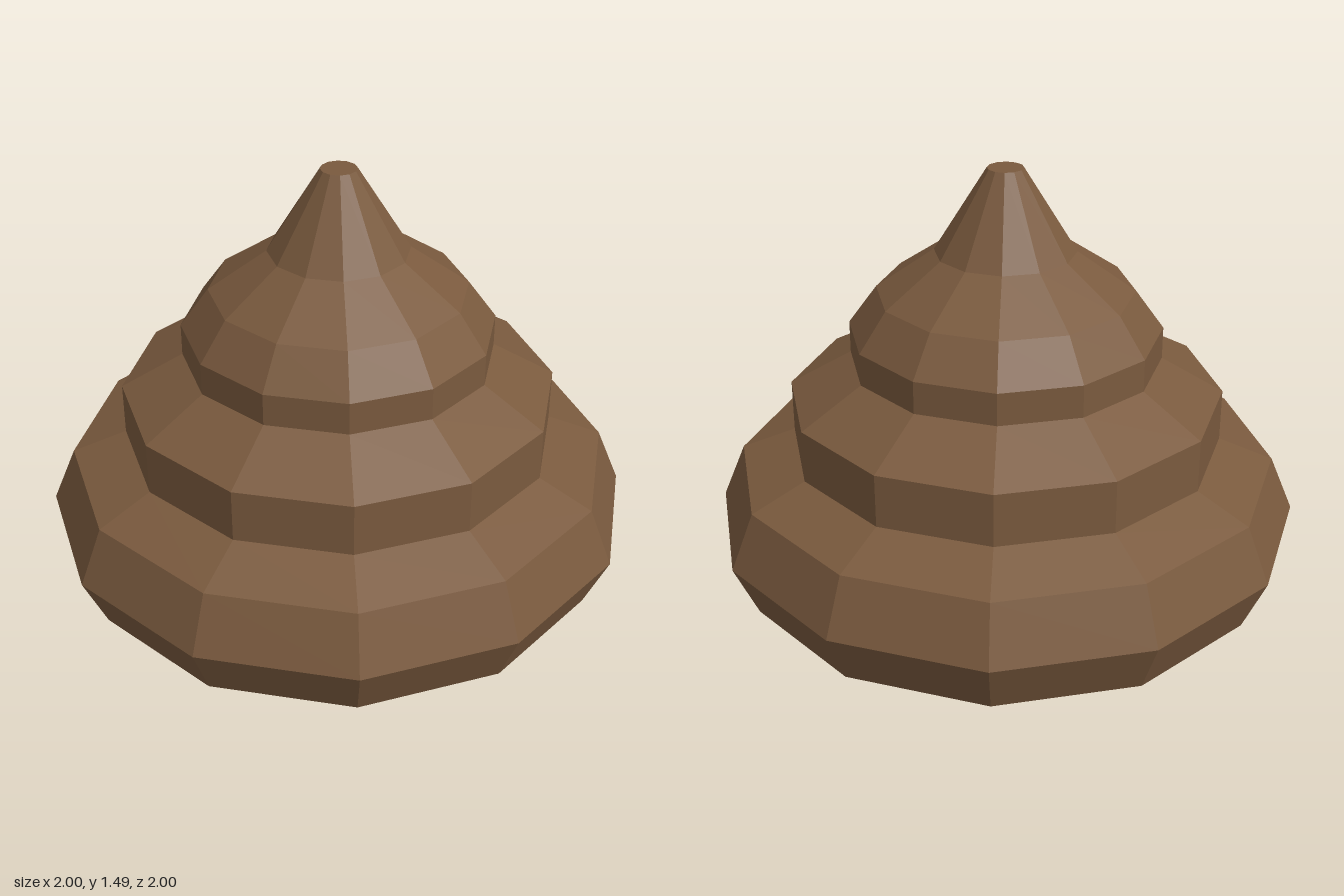
import * as THREE from 'three';

const SIDES = 12;

export function createModel() {
  const group = new THREE.Group();
  group.name = 'swirlMound';
  const material = new THREE.MeshStandardMaterial({ color: 0x7a5a3e, flatShading: true });

  // Each tier is a faceted ring profile, [radius, height], from bottom to top
  const profile = [
    // flat underside and wide bottom tier
    [0, 0], [0.735, 0], [0.92, 0.08], [1, 0.265], [0.92, 0.455], [0.735, 0.53],
    // middle tier
    [0.735, 0.71], [0.525, 0.83],
    // upper tier
    [0.525, 0.94], [0.43, 1.07], [0.235, 1.205],
    // blunt tip
    [0.06, 1.485], [0, 1.485],
  ].map(([r, y]) => new THREE.Vector2(r, y));

  const body = new THREE.Mesh(new THREE.LatheGeometry(profile, SIDES), material);
  body.name = 'tieredBody';
  group.add(body);
  return group;
}
